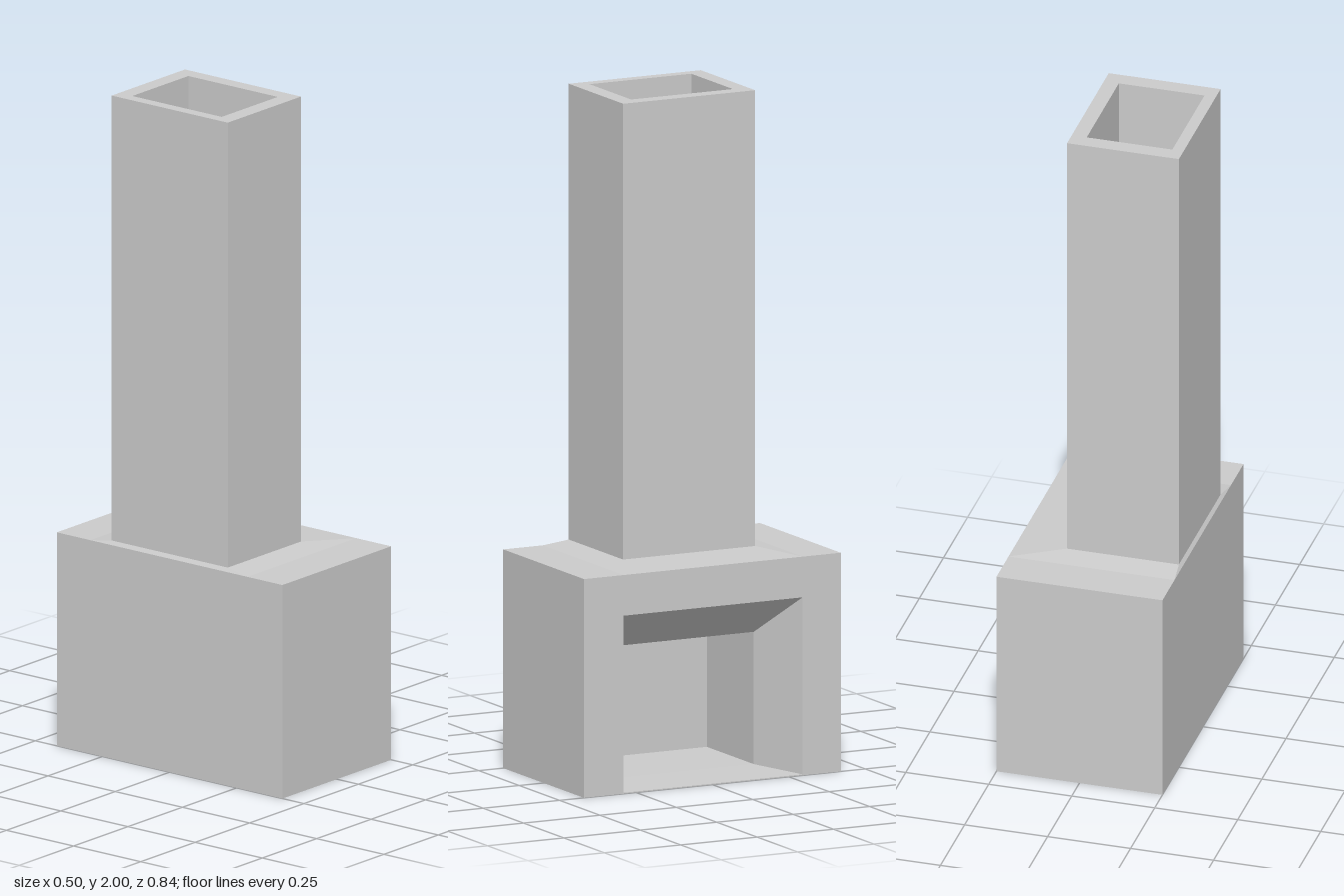
import * as THREE from 'three';

// Four corners of a rectangle, counter-clockwise seen from +y or from +x
const ringY = (y, x0, x1, z0, z1) =>
  [[x0, y, z1], [x1, y, z1], [x1, y, z0], [x0, y, z0]];
const ringX = (x, y0, y1, z0, z1) =>
  [[x, y0, z1], [x, y0, z0], [x, y1, z0], [x, y1, z1]];

// Quads joining successive rings; skip lists "segment:side" pairs left open
function loft(rings, skip = []) {
  const quads = [];
  for (let s = 0; s < rings.length - 1; s++) {
    for (let i = 0; i < 4; i++) {
      if (skip.includes(`${s}:${i}`)) continue;
      const j = (i + 1) % 4;
      quads.push([rings[s][i], rings[s][j], rings[s + 1][j], rings[s + 1][i]]);
    }
  }
  return quads;
}

function quadMesh(name, quads, material) {
  const positions = quads.flatMap(([a, b, c, d]) => [a, b, c, a, c, d].flat());
  const geometry = new THREE.BufferGeometry();
  geometry.setAttribute('position', new THREE.Float32BufferAttribute(positions, 3));
  geometry.computeVertexNormals();
  const mesh = new THREE.Mesh(geometry, material);
  mesh.name = name;
  return mesh;
}

export function createModel() {
  const group = new THREE.Group();
  group.name = 'fireplace';
  const material = new THREE.MeshStandardMaterial({ color: 0xcccccc });
  const top = 0.645, throatY = 0.4;

  // Hearth block: outer walls, front frame and splayed firebox
  const back = ringX(-0.25, 0, top, -0.42, 0.42);
  const front = ringX(0.25, 0, top, -0.42, 0.42);
  const opening = ringX(0.25, 0.003, 0.525, -0.295, 0.29);
  const throat = ringX(0.08, 0.01, throatY, -0.225, 0.215);
  const fireback = ringX(-0.21, 0.01, throatY, -0.225, 0.215);
  group.add(quadMesh('hearthBlock', [
    [...back].reverse(),
    ...loft([back, front, opening], ['0:2']),
    ringY(top, -0.25, 0.25, 0.29, 0.42),
    ringY(top, -0.25, 0.25, -0.42, -0.295),
  ], material));
  group.add(quadMesh('firebox', [
    ...loft([opening, throat, fireback], ['1:2']),
    fireback,
  ], material));

  // Sloped shoulder between the block and the chimney
  const foot = ringY(0.656, -0.242, 0.095, -0.222, 0.21);
  group.add(quadMesh('shoulder',
    loft([ringY(top, -0.25, 0.25, -0.295, 0.29), foot]), material));

  // Hollow chimney: outside, rim, flue and the ledge above the fire
  group.add(quadMesh('chimney', loft([
    foot,
    ringY(2, -0.242, 0.095, -0.222, 0.21),
    ringY(2, -0.208, 0.05, -0.173, 0.16),
    ringY(throatY, -0.208, 0.05, -0.173, 0.16),
    ringY(throatY, -0.21, 0.08, -0.225, 0.215),
  ]), material));

  return group;
}
